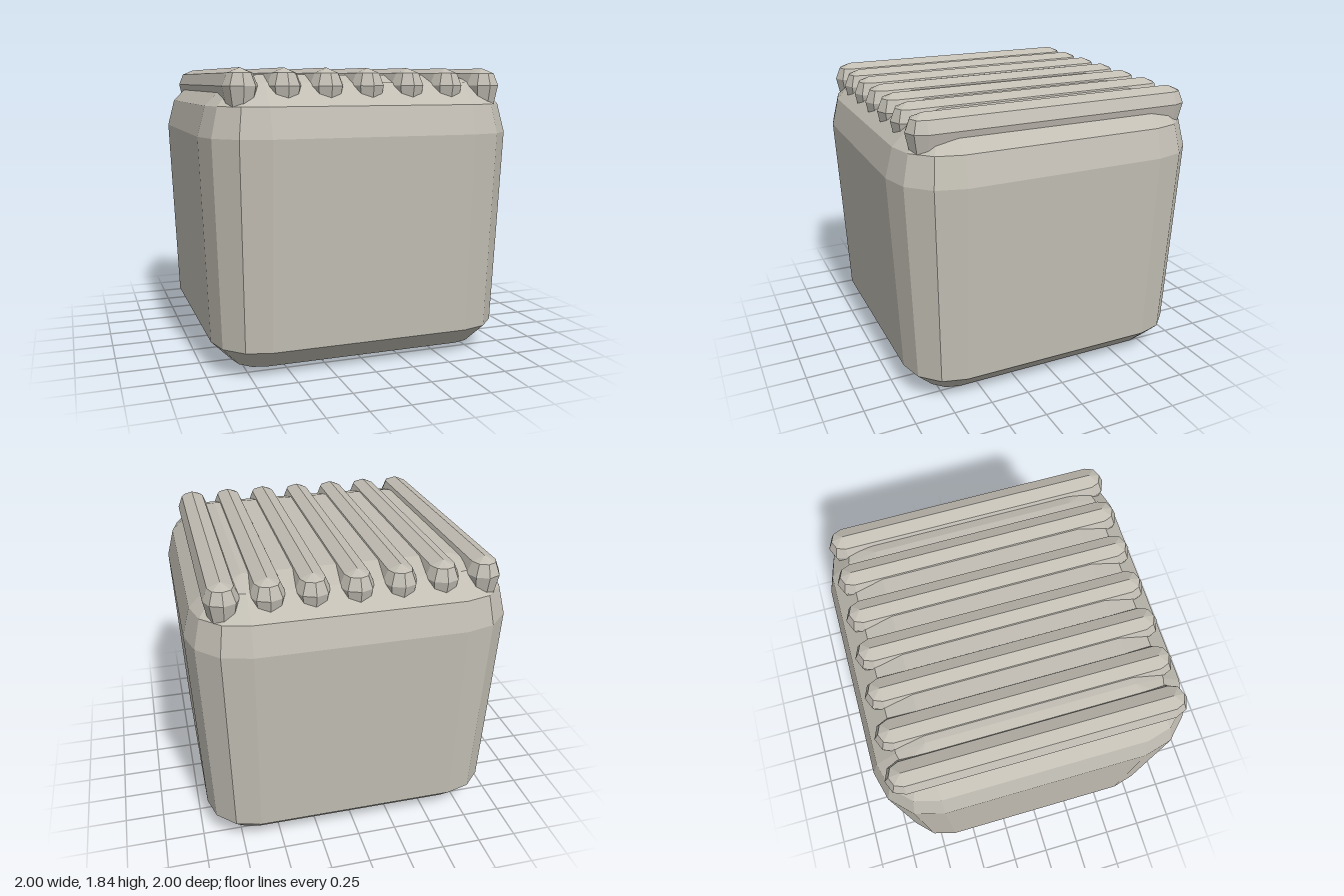
import * as THREE from 'three';

// Rounded box built from stacked rounded-rectangle rings.
// cx, cz: centres of the corner arcs; levels: [y, corner radius] from bottom to top.
function roundedBlock(cx, cz, segments, levels) {
  const corners = [[1, 1, 0], [-1, 1, 1], [-1, -1, 2], [1, -1, 3]];
  const positions = [];
  for (const [y, r] of levels) {
    for (const [sx, sz, quarter] of corners) {
      for (let i = 0; i <= segments; i++) {
        const a = (quarter + i / segments) * Math.PI / 2;
        positions.push(sx * cx + r * Math.cos(a), y, sz * cz + r * Math.sin(a));
      }
    }
  }
  const n = 4 * (segments + 1);
  const index = [];
  for (let l = 0; l < levels.length - 1; l++) {
    for (let i = 0; i < n; i++) {
      const a = l * n + i, b = l * n + (i + 1) % n;
      index.push(a, a + n, b, b, a + n, b + n);
    }
  }
  // Flat bottom and top
  const top = (levels.length - 1) * n;
  for (let i = 1; i < n - 1; i++) {
    index.push(0, i, i + 1, top, top + i + 1, top + i);
  }
  const geometry = new THREE.BufferGeometry();
  geometry.setAttribute('position', new THREE.Float32BufferAttribute(positions, 3));
  geometry.setIndex(index);
  const flat = geometry.toNonIndexed();
  flat.computeVertexNormals();
  return flat;
}

export function createModel() {
  const group = new THREE.Group();
  const stone = new THREE.MeshStandardMaterial({ color: 0xc2beb4, flatShading: true });
  stone.name = 'warm grey stone';

  // Chunky block, slightly narrower towards its chamfered base
  const body = new THREE.Mesh(roundedBlock(0.64, 0.64, 3, [
    [0, 0], [0.05, 0.18], [0.18, 0.31],
    [1.44, 0.36], [1.62, 0.312], [1.752, 0.18], [1.8, 0],
  ]), stone);
  body.name = 'body';
  group.add(body);

  // Seven rounded ridges sunk into the top
  const r = 0.105, s = r * Math.SQRT1_2;
  const ridgeGeometry = roundedBlock(0, 0.815, 2, [
    [1.5, 0.055], [1.735, r], [1.735 + s, s], [1.84, 0],
  ]);
  for (let i = -3; i <= 3; i++) {
    const ridge = new THREE.Mesh(ridgeGeometry, stone);
    ridge.name = 'topRidge' + (i + 4);
    ridge.position.x = i * 0.26;
    group.add(ridge);
  }
  return group;
}
